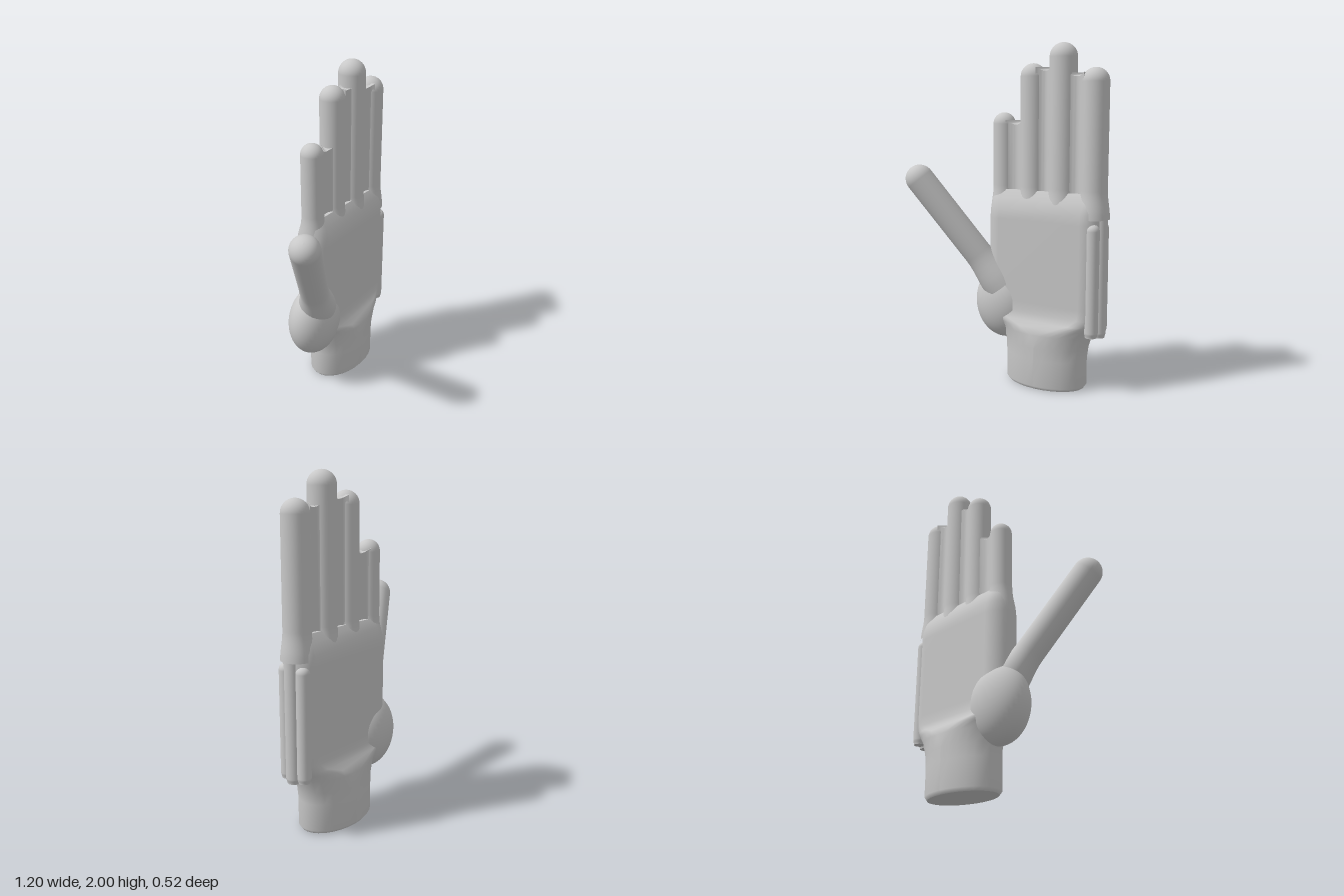
import * as THREE from 'three';
import { toCreasedNormals } from 'three/addons/utils/BufferGeometryUtils.js';

const MID_Z = -0.097;

// Ring made of a flat middle and two elliptical ends
function ring([y, xMin, xMax, end, depth], steps = 14) {
  const cx = (xMin + xMax) / 2, flat = Math.max(0.001, (xMax - xMin) / 2 - end);
  const points = [];
  for (const side of [1, -1]) {
    for (let i = 0; i <= steps; i++) {
      const t = -Math.PI / 2 + (Math.PI * i) / steps;
      points.push([cx + side * (flat + end * Math.cos(t)), y, MID_Z + side * depth * Math.sin(t)]);
    }
  }
  return points;
}

// Skin over a stack of rings, with closed ends
function loft(rows) {
  const rings = rows.map((r) => ring(r));
  const n = rings[0].length, pos = rings.flat(2), index = [];
  for (let i = 0; i < rings.length - 1; i++) {
    for (let j = 0; j < n; j++) {
      const a = i * n + j, b = i * n + ((j + 1) % n);
      index.push(a, a + n, b, b, a + n, b + n);
    }
  }
  [0, rings.length - 1].forEach((k) => {
    const c = pos.length / 3;
    const row = rows[k];
    pos.push((row[1] + row[2]) / 2, row[0], MID_Z, ...rings[k].flat());
    for (let j = 0; j < n; j++) {
      const a = c + 1 + j, b = c + 1 + ((j + 1) % n);
      if (k === 0) index.push(c, a, b);
      else index.push(c, b, a);
    }
  });
  const geo = new THREE.BufferGeometry();
  geo.setAttribute('position', new THREE.Float32BufferAttribute(pos, 3));
  geo.setIndex(index);
  geo.computeVertexNormals();
  return geo;
}

// Round-tipped rod along y, flared at its base
function digit(length, r, baseR, flare) {
  const p = [new THREE.Vector2(baseR, 0)];
  for (let i = 1; i <= 6; i++) {
    const t = i / 6;
    p.push(new THREE.Vector2(baseR + (r - baseR) * t * t * (3 - 2 * t), flare * t));
  }
  for (let i = 0; i <= 10; i++) {
    const t = (i / 10) * Math.PI / 2;
    p.push(new THREE.Vector2(i === 10 ? 0 : r * Math.cos(t), length - r + r * Math.sin(t)));
  }
  return new THREE.LatheGeometry(p, 32);
}

export function createModel() {
  const group = new THREE.Group();
  const skin = new THREE.MeshStandardMaterial({ color: 0xc8c8c8 });
  skin.name = 'plain grey';
  const add = (name, geo, x = 0, y = 0, z = 0) => {
    const mesh = new THREE.Mesh(geo, skin);
    mesh.name = name;
    mesh.position.set(x, y, z);
    group.add(mesh);
    return mesh;
  };

  // Oval wrist flowing into the flat palm: y, xMin, xMax, end length, half depth
  add('wristAndPalm', loft([
    [0, -0.03, 0.455, 0.242, 0.15],
    [0.02, -0.045, 0.47, 0.257, 0.165],
    [0.18, -0.045, 0.47, 0.257, 0.165],
    [0.25, -0.05, 0.48, 0.262, 0.165],
    [0.33, -0.07, 0.505, 0.26, 0.164],
    [0.37, -0.1, 0.53, 0.21, 0.152],
    [0.4, -0.135, 0.55, 0.14, 0.125],
    [0.44, -0.16, 0.57, 0.11, 0.109],
    [0.5, -0.165, 0.572, 0.105, 0.107],
    [0.99, -0.165, 0.572, 0.105, 0.107],
    [1.05, -0.16, 0.57, 0.1, 0.103],
    [1.11, -0.152, 0.565, 0.085, 0.082],
    [1.16, -0.14, 0.55, 0.07, 0.05],
  ]));

  // Fingers: x, radius, tip height
  const fingers = [
    ['indexFinger', -0.083, 0.066, 1.61],
    ['middleFinger', 0.113, 0.074, 1.89],
    ['ringFinger', 0.307, 0.08, 2.0],
    ['littleFinger', 0.507, 0.077, 1.86],
  ];
  const base = 1.02;
  for (const [name, x, r, top] of fingers) {
    add(name, digit(top - base, r, r + 0.015, 0.16), x, base, MID_Z);
  }

  // Thin waisted webs between neighbouring fingers, dipped along the top
  [1.54, 1.845, 1.81].forEach((top, i) => {
    const [, xa, ra] = fingers[i], [, xb, rb] = fingers[i + 1];
    const a = xa + ra * 0.6, b = xb - rb * 0.6, mid = (a + b) / 2;
    const ha = ra * 0.78, hb = rb * 0.78;
    const shape = new THREE.Shape();
    shape.moveTo(a, -ha);
    shape.quadraticCurveTo(mid, 0, b, -hb);
    shape.lineTo(b, hb);
    shape.quadraticCurveTo(mid, 0, a, ha);
    shape.closePath();
    const geo = new THREE.ExtrudeGeometry(shape, { depth: top - 1.08, bevelEnabled: false, curveSegments: 12 });
    geo.rotateX(-Math.PI / 2);
    const p = geo.attributes.position;
    for (let k = 0; k < p.count; k++) {
      if (p.getY(k) > 0.1) p.setY(k, p.getY(k) + 8 * (p.getX(k) - mid) ** 2);
    }
    add('fingerWeb', toCreasedNormals(geo, 0.6), 0, 1.08, MID_Z);
  });

  // Thumb leaning out and forward
  const from = new THREE.Vector3(-0.085, 0.57, -0.07);
  const tip = new THREE.Vector3(-0.515, 1.215, 0.175);
  const dir = tip.clone().sub(from);
  const thumb = add('thumb', digit(dir.length() + 0.085, 0.085, 0.115, 0.24), from.x, from.y, from.z);
  thumb.quaternion.setFromUnitVectors(new THREE.Vector3(0, 1, 0), dir.normalize());

  // Ball of the thumb
  const ball = add('thumbBall', new THREE.SphereGeometry(1, 40, 28), -0.08, 0.46, -0.098);
  ball.scale.set(0.19, 0.225, 0.142);

  // Ridges down the outer edge of the palm
  for (const [x, z, r, low, high] of [
    [0.55, MID_Z, 0.043, 0.335, 1.06],
    [0.532, MID_Z + 0.062, 0.04, 0.345, 1.0],
    [0.532, MID_Z - 0.062, 0.04, 0.345, 1.0],
  ]) {
    add('edgeRidge', digit(high - low, r, r * 0.85, 0.03), x, low, z);
    const cap = add('edgeRidgeEnd', new THREE.CircleGeometry(r * 0.85, 24), x, low, z);
    cap.rotation.x = Math.PI / 2;
  }

  return group;
}
